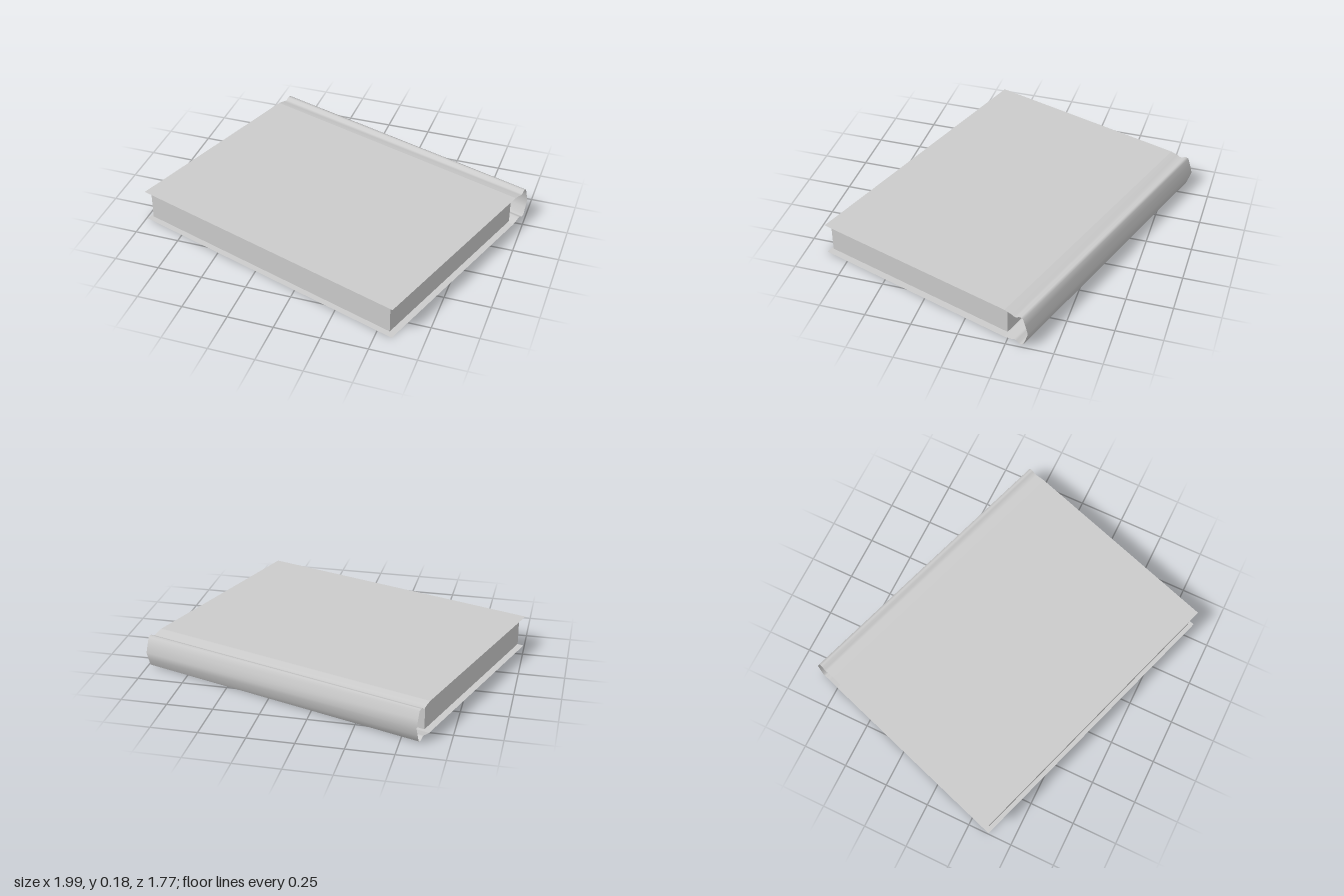
import * as THREE from 'three';

const LENGTH = 1.663; // along the spine
const HEIGHT = 0.18;
const FORE = 0.658; // fore edge of the covers
const HINGE = -0.518; // where the covers meet the spine

const grey = new THREE.MeshStandardMaterial({ color: 0xcccccc });
const sheetGrey = new THREE.MeshStandardMaterial({ color: 0xcccccc, side: THREE.DoubleSide });

// Thin sheet: a [z, y] profile swept along x, outside facing out
function sheet(name, profile) {
  const geometry = new THREE.PlaneGeometry(LENGTH, 1, 1, profile.length - 1);
  const position = geometry.attributes.position;
  for (let i = 0; i < position.count; i++) {
    const [z, y] = profile[Math.floor(i / 2)];
    position.setXYZ(i, position.getX(i), y, z);
  }
  geometry.computeVertexNormals();
  const mesh = new THREE.Mesh(geometry, sheetGrey);
  mesh.name = name;
  return mesh;
}

export function createModel() {
  const book = new THREE.Group();
  book.name = 'book';

  // Flat boards
  book.add(sheet('frontCover', [[HINGE, HEIGHT], [FORE, HEIGHT]]));
  book.add(sheet('backCover', [[FORE, 0], [HINGE, 0]]));

  // Spine with a hinge groove on each side, mirrored about mid-height
  const lower = [
    [HINGE, 0], [-0.558, 0.008], [-0.576, 0.015], [-0.59, 0.014],
    [-0.604, 0.003], [-0.616, 0], [-0.63, 0.006], [-0.644, 0.045],
  ];
  const upper = lower.map(([z, y]) => [z, HEIGHT - y]).reverse();
  book.add(sheet('spine', [...lower, [-0.658, HEIGHT / 2], ...upper]));

  // Page block, set in from the cover edges
  const pages = new THREE.Mesh(new THREE.BoxGeometry(1.608, 0.166, 1.153), grey);
  pages.name = 'pages';
  pages.position.set(0, 0.095, 0.0595);
  book.add(pages);

  // The book lies turned on the ground
  book.rotation.y = -0.318;
  const model = new THREE.Group();
  model.name = 'lyingBook';
  model.add(book);
  return model;
}
